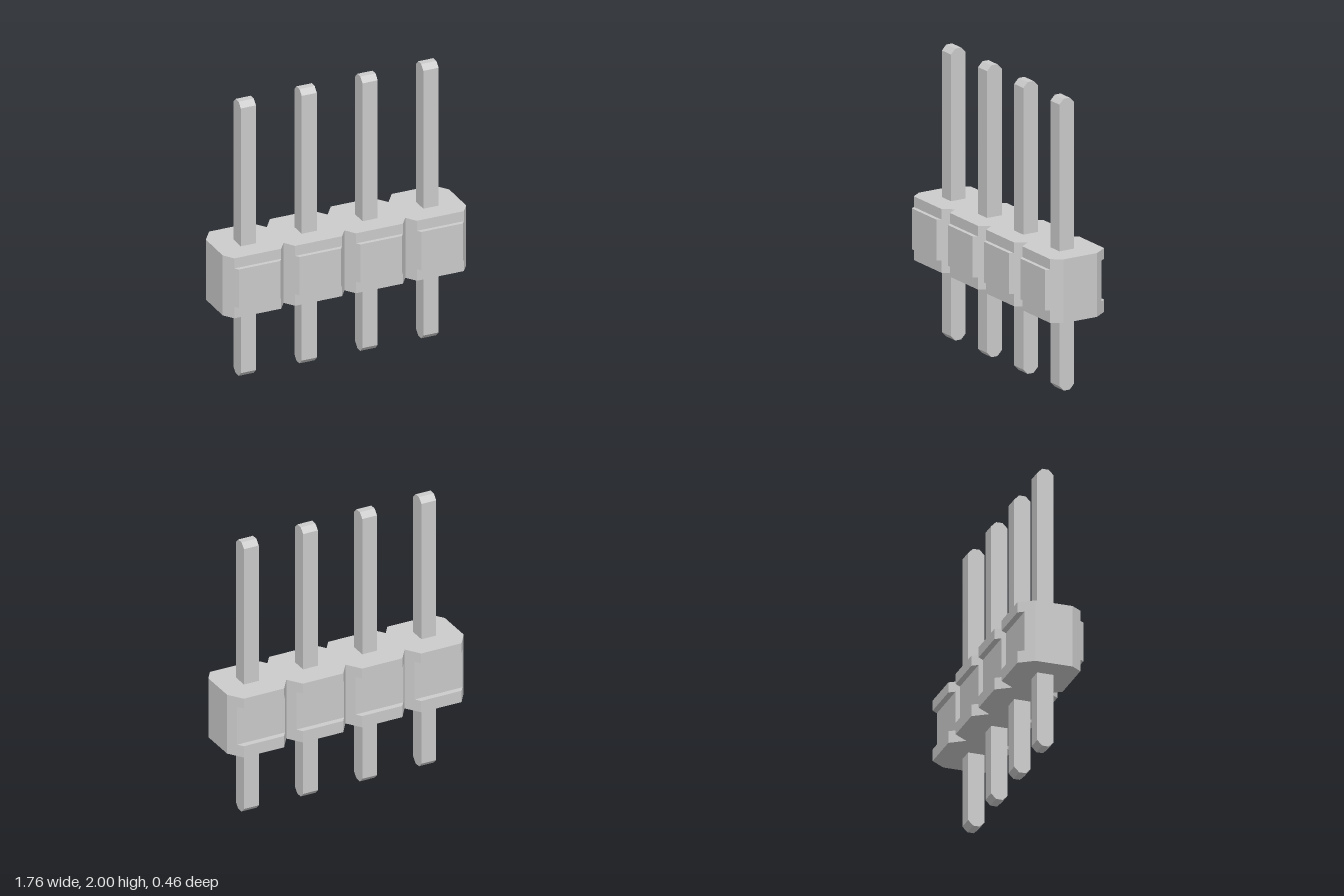
import * as THREE from 'three';

const COUNT = 4;
const PITCH = 0.44;
const SIDE_Z = 0.13;   // depth at which the corner chamfers start
const FULL_Z = 0.23;   // full half depth of the housing
const FACE_HALF = 0.15; // half width of a cell's face at full depth

const material = new THREE.MeshStandardMaterial({ color: 0xcccccc, flatShading: true });
const cellX = (i) => (i - (COUNT - 1) / 2) * PITCH;

// Half width of a cell where its chamfers are cut off at depth z
function halfWidthAt(z) {
  return THREE.MathUtils.mapLinear(z, SIDE_Z, FULL_Z, PITCH / 2, FACE_HALF);
}

// One horizontal layer of the housing: chained chamfered cells
function housingLayer(name, y0, y1, frontZ, backZ) {
  const points = [];
  const addSide = (depth, sign) => {
    const h = halfWidthAt(depth);
    for (let i = 0; i < COUNT; i++) {
      const x = sign * cellX(i);
      points.push(new THREE.Vector2(x - sign * PITCH / 2, -sign * SIDE_Z));
      points.push(new THREE.Vector2(x - sign * h, -sign * depth));
      points.push(new THREE.Vector2(x + sign * h, -sign * depth));
    }
    points.push(new THREE.Vector2(sign * COUNT * PITCH / 2, -sign * SIDE_Z));
  };
  addSide(frontZ, 1);
  addSide(backZ, -1);
  const geometry = new THREE.ExtrudeGeometry(new THREE.Shape(points), {
    depth: y1 - y0, bevelEnabled: false,
  });
  geometry.rotateX(-Math.PI / 2).translate(0, y0, 0);
  const mesh = new THREE.Mesh(geometry, material);
  mesh.name = name;
  return mesh;
}

// Pin side profile with chamfered ends, extruded across its width
function pinGeometry() {
  const half = 0.057, tip = 0.023, chamfer = 0.035, width = 0.11;
  const shape = new THREE.Shape([
    [-tip, 0], [tip, 0], [half, chamfer], [half, 2 - chamfer],
    [tip, 2], [-tip, 2], [-half, 2 - chamfer], [-half, chamfer],
  ].map(([z, y]) => new THREE.Vector2(z, y)));
  return new THREE.ExtrudeGeometry(shape, { depth: width, bevelEnabled: false })
    .translate(0, 0, -width / 2)
    .rotateY(Math.PI / 2);
}

export function createModel() {
  const model = new THREE.Group();
  model.name = 'pinHeader';

  // Housing: the middle layer stands proud at the front and is recessed at the back
  const housing = new THREE.Group();
  housing.name = 'housing';
  housing.add(
    housingLayer('lowerRim', 0.523, 0.607, 0.202, FULL_Z),
    housingLayer('middleBand', 0.607, 0.887, FULL_Z, 0.19),
    housingLayer('upperRim', 0.887, 0.96, 0.202, FULL_Z),
  );
  model.add(housing);

  // Row of pins through the cells
  const geometry = pinGeometry();
  for (let i = 0; i < COUNT; i++) {
    const pin = new THREE.Mesh(geometry, material);
    pin.name = `pin${i + 1}`;
    pin.position.x = cellX(i);
    model.add(pin);
  }
  return model;
}
